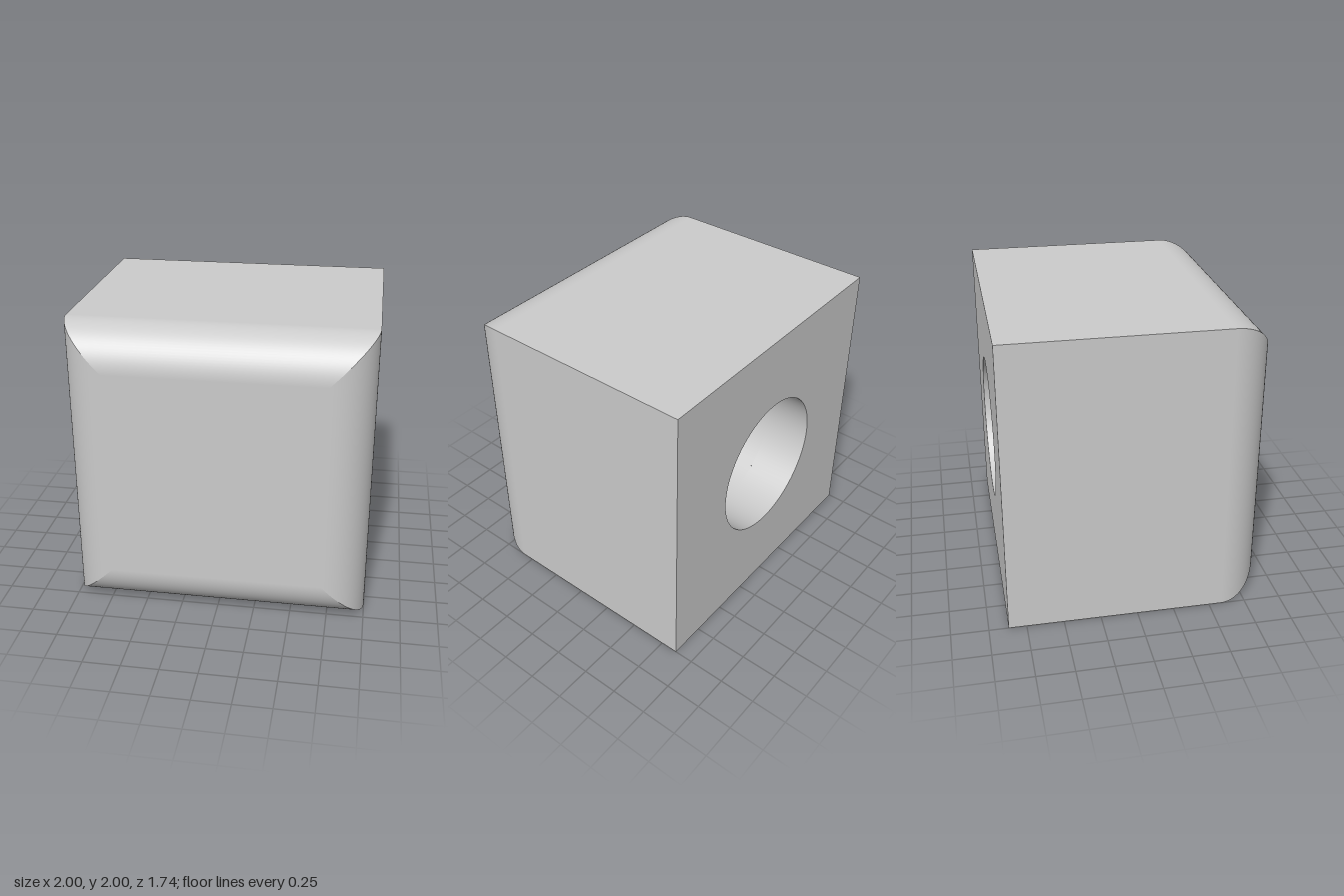
import * as THREE from 'three';

const HALF = 1, BACK = -0.87, FRONT = 0.87, FILLET = 0.29;   // body
const BORE = 0.49, FLAT = 0.245;                             // D-shaped shaft hole
const SHELF_Z = BACK + 0.32, FLOOR_Z = BACK + 1.33;

const material = new THREE.MeshStandardMaterial({ color: 0xcccccc });
const innerMaterial = new THREE.MeshStandardMaterial({ color: 0xcccccc, side: THREE.DoubleSide });

// One side wall (facing +y) that rolls over into the front, mitred at 45 degrees
function sideGeometry() {
  const rows = [[HALF, BACK, 0]];
  const steps = 24;
  for (let i = 0; i <= steps; i++) {
    const a = (i / steps) * Math.PI / 2;
    rows.push([HALF - FILLET * (1 - Math.cos(a)), FRONT - FILLET + FILLET * Math.sin(a), a]);
  }
  const positions = [], normals = [], index = [];
  rows.forEach(([h, z, a], i) => {
    positions.push(-h, h, z, h, h, z);
    for (let k = 0; k < 2; k++) normals.push(0, Math.cos(a), Math.sin(a));
    if (i > 0) {
      const p = 2 * (i - 1);
      index.push(p, p + 2, p + 1, p + 1, p + 2, p + 3);
    }
  });
  const g = new THREE.BufferGeometry();
  g.setAttribute('position', new THREE.Float32BufferAttribute(positions, 3));
  g.setAttribute('normal', new THREE.Float32BufferAttribute(normals, 3));
  g.setIndex(index);
  return g;
}

export function createModel() {
  const model = new THREE.Group();
  const body = new THREE.Group();
  body.name = 'body';
  body.position.y = HALF;
  model.add(body);

  const add = (name, geometry, mat = material, z = 0) => {
    const mesh = new THREE.Mesh(geometry, mat);
    mesh.name = name;
    mesh.position.z = z;
    body.add(mesh);
    return mesh;
  };

  // Four rounded walls and the flat front
  const side = sideGeometry();
  ['topWall', 'rightWall', 'bottomWall', 'leftWall'].forEach((name, i) => {
    add(name, side).rotation.z = i * Math.PI / 2;
  });
  const face = 2 * (HALF - FILLET);
  add('frontFace', new THREE.PlaneGeometry(face, face), material, FRONT);

  // Back face with a round opening
  const back = new THREE.Shape([[-1, -1], [1, -1], [1, 1], [-1, 1]]
    .map(([x, y]) => new THREE.Vector2(x * HALF, y * HALF)));
  back.holes.push(new THREE.Path().absarc(0, 0, BORE, 0, Math.PI * 2, true));
  add('backFace', new THREE.ShapeGeometry(back, 48).rotateY(Math.PI), material, BACK);

  // Round mouth of the hole
  const mouthDepth = SHELF_Z - BACK;
  add('holeMouth', new THREE.CylinderGeometry(BORE, BORE, mouthDepth, 96, 1, true)
    .rotateX(Math.PI / 2), innerMaterial, (BACK + SHELF_Z) / 2);

  // Deeper D-shaped socket: curved wall, flat wall, ledge and floor
  const depth = FLOOR_Z - SHELF_Z, mid = (FLOOR_Z + SHELF_Z) / 2;
  const cut = Math.acos(FLAT / BORE);
  add('socketWall', new THREE.CylinderGeometry(BORE, BORE, depth, 72, 1, true,
    Math.PI / 2 + cut, 2 * (Math.PI - cut)).rotateX(Math.PI / 2), innerMaterial, mid);
  add('socketFlat', new THREE.PlaneGeometry(depth, 2 * BORE * Math.sin(cut))
    .rotateY(-Math.PI / 2), innerMaterial, mid).position.x = FLAT;
  const arcShape = (from, to) => new THREE.Shape().absarc(0, 0, BORE, from, to, false);
  add('socketLedge', new THREE.ShapeGeometry(arcShape(-cut, cut), 32), innerMaterial, SHELF_Z);
  add('socketFloor', new THREE.ShapeGeometry(arcShape(cut, 2 * Math.PI - cut), 64), innerMaterial, FLOOR_Z);

  return model;
}
